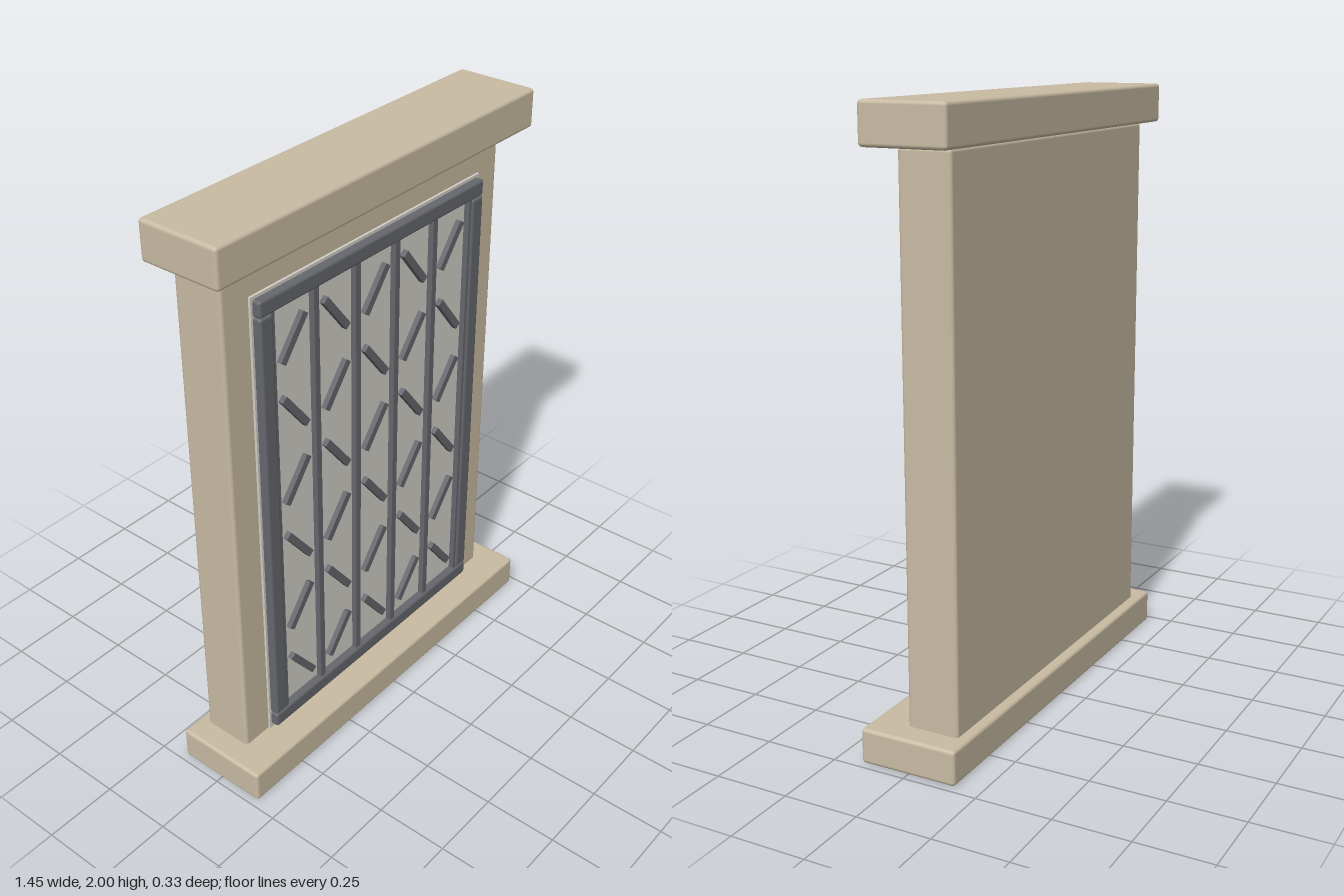
import * as THREE from 'three';
import { RoundedBoxGeometry } from 'three/addons/geometries/RoundedBoxGeometry.js';

export function createModel() {
  const group = new THREE.Group();
  group.name = 'window';
  const stone = new THREE.MeshStandardMaterial({ color: 0xc8bba2 });
  const glass = new THREE.MeshStandardMaterial({ color: 0xd3d0c8 });
  const metal = new THREE.MeshStandardMaterial({ color: 0x65676d });

  // Box given by its min and max corners, with optional rounded edges
  function block(name, material, [x0, y0, z0], [x1, y1, z1], radius = 0) {
    const size = [x1 - x0, y1 - y0, z1 - z0];
    const geometry = radius
      ? new RoundedBoxGeometry(...size, 2, radius)
      : new THREE.BoxGeometry(...size);
    const mesh = new THREE.Mesh(geometry, material);
    mesh.name = name;
    mesh.position.set((x0 + x1) / 2, (y0 + y1) / 2, (z0 + z1) / 2);
    group.add(mesh);
    return mesh;
  }

  // Stone surround
  block('sill', stone, [-0.727, 0, -0.165], [0.727, 0.115, 0.165], 0.012);
  block('wallBody', stone, [-0.645, 0.1, -0.13], [0.645, 1.87, 0.045], 0.012);
  block('lintel', stone, [-0.727, 1.87, -0.165], [0.727, 2, 0.122], 0.012);

  // Pale pane behind the lattice
  block('pane', glass, [-0.538, 0.115, 0.02], [0.538, 1.755, 0.053]);

  // Metal frame
  block('topRail', metal, [-0.53, 1.69, 0.03], [0.53, 1.745, 0.08], 0.01);
  block('bottomRail', metal, [-0.53, 0.13, 0.03], [0.53, 0.185, 0.08], 0.01);
  for (const side of [-1, 1]) {
    const x = side * 0.502;
    block(side > 0 ? 'leftStile' : 'rightStile', metal,
      [x - 0.028, 0.185, 0.03], [x + 0.028, 1.69, 0.08], 0.01);
  }

  // Upright bars, the outer two tucked against the stiles
  for (let i = 0; i < 6; i++) {
    const x = (i - 2.5) * 0.19;
    block('uprightBar', metal, [x - 0.011, 0.18, 0.045], [x + 0.011, 1.695, 0.073]);
  }

  // Slanted bars, alternating direction like a checkerboard
  for (let col = 0; col < 5; col++) {
    for (let row = 0; row < 6; row++) {
      const x = (col - 2) * 0.19;
      const y = 1.563 - row * 0.251;
      const bar = block('slantedBar', metal,
        [x - 0.083, y - 0.0125, 0.045], [x + 0.083, y + 0.0125, 0.071]);
      bar.rotation.z = ((col + row) % 2 ? -1 : 1) * 0.91;
    }
  }
  return group;
}
